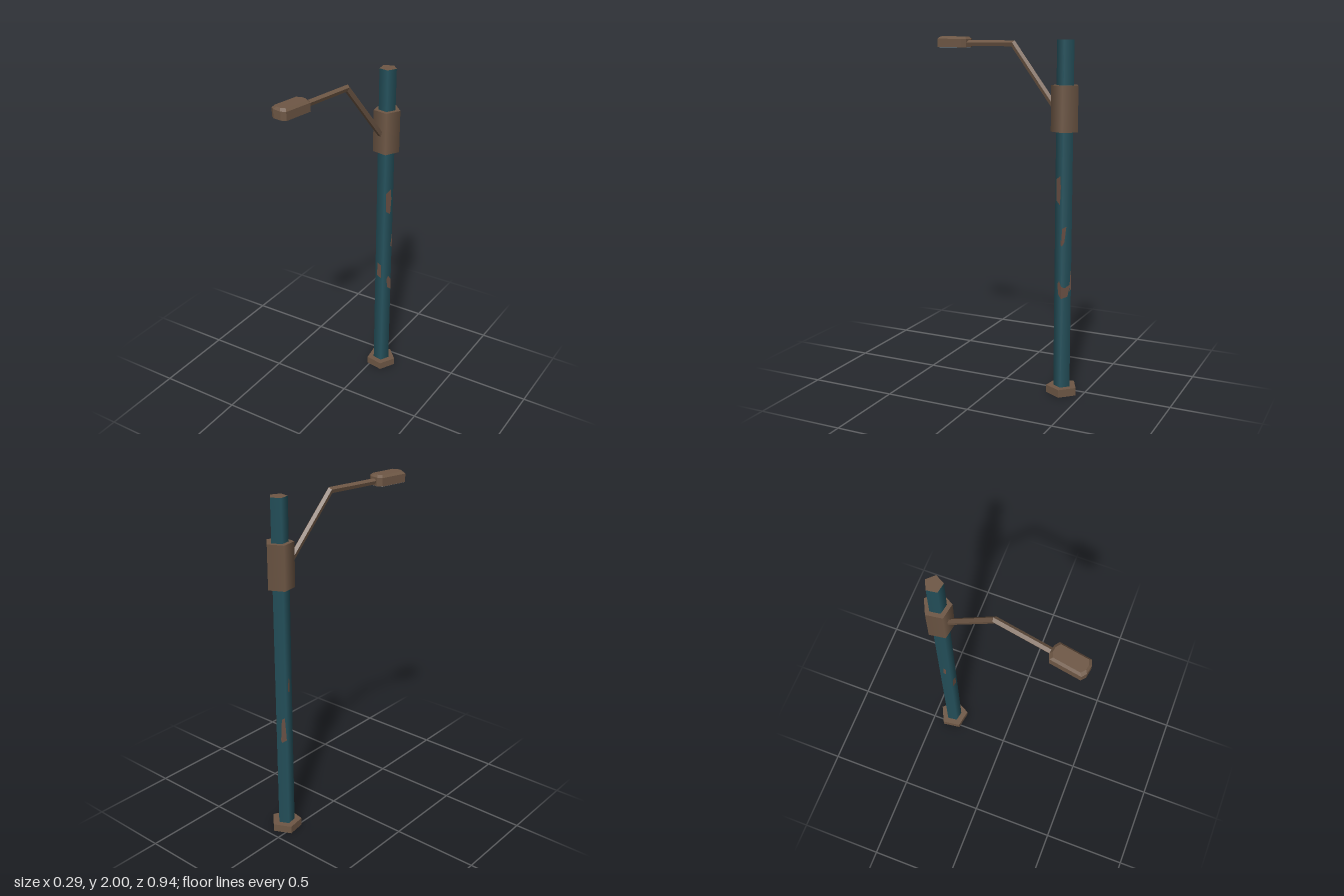
import * as THREE from 'three';

const mat = (name, color) => new THREE.MeshStandardMaterial({ name, color, side: THREE.DoubleSide });

// Faceted skin through a list of rings, optionally closed at both ends
function loft(rings, capped = true) {
  const pos = [];
  const tri = (...pts) => pts.forEach((p) => pos.push(p.x, p.y, p.z));
  const n = rings[0].length;
  for (let k = 0; k < rings.length - 1; k++) {
    const a = rings[k], b = rings[k + 1];
    for (let i = 0; i < n; i++) {
      const j = (i + 1) % n;
      tri(a[i], a[j], b[j]);
      tri(a[i], b[j], b[i]);
    }
  }
  if (capped) {
    const first = rings[0], last = rings[rings.length - 1];
    for (let i = 1; i < n - 1; i++) {
      tri(first[0], first[i + 1], first[i]);
      tri(last[0], last[i], last[i + 1]);
    }
  }
  const g = new THREE.BufferGeometry();
  g.setAttribute('position', new THREE.Float32BufferAttribute(pos, 3));
  g.computeVertexNormals();
  return g;
}

// Five-sided column with a corner at the back and a flat at the front
function column(r, y0, y1, open) {
  return new THREE.CylinderGeometry(r, r, y1 - y0, 5, 1, open)
    .rotateY(Math.PI).translate(0, (y0 + y1) / 2, 0);
}
function pentagonCap(r, y) {
  return new THREE.CircleGeometry(r, 5, Math.PI / 2).rotateX(-Math.PI / 2).translate(0, y, 0);
}

export function createModel() {
  const model = new THREE.Group();
  model.name = 'streetLamp';
  const teal = mat('tealPaint', 0x25525d);
  const brown = mat('brownMetal', 0x6e5745);
  const rust = mat('rust', 0x684f43);
  const glass = mat('lampGlass', 0x858f98);

  // Everything is built around the pole axis, with the arm along +z, then turned
  const lamp = new THREE.Group();
  lamp.name = 'lamp';
  lamp.position.set(0.05, 0, -0.378);
  lamp.rotation.y = THREE.MathUtils.degToRad(-10);
  model.add(lamp);
  const add = (name, geometry, material) => {
    const m = new THREE.Mesh(geometry, material);
    m.name = name;
    lamp.add(m);
    return m;
  };

  // Pole, foot and collar
  const R = 0.05;
  const foot = column(0.091, 0, 0.045, true).toNonIndexed();
  foot.computeVertexNormals();
  add('footSides', foot, brown);
  add('footTop', pentagonCap(0.091, 0.045), brown);
  add('pole', column(R, 0, 1.99, true), teal);
  add('poleCap', pentagonCap(R, 1.99), brown);
  add('collar', column(0.079, 1.5, 1.75, false), brown);

  // Bent five-sided arm, mitred at the elbow
  const path = [[0.055, 1.615], [0.343, 1.964], [0.68, 1.962]].map(([z, y]) => new THREE.Vector3(0, y, z));
  const dirs = [0, 1].map((i) => path[i + 1].clone().sub(path[i]).normalize());
  const ups = dirs.map((d) => new THREE.Vector3(0, d.z, -d.y));
  const mitre = ups[0].clone().add(ups[1]).normalize();
  mitre.divideScalar(mitre.dot(ups[0]));
  const armRings = [ups[0], mitre, ups[1]].map((up, k) =>
    Array.from({ length: 5 }, (_, i) => {
      const t = (i / 5) * Math.PI * 2;
      return path[k].clone().addScaledVector(up, 0.018 * Math.cos(t)).add(new THREE.Vector3(-0.018 * Math.sin(t), 0, 0));
    }));
  add('arm', loft(armRings), brown);

  // Lamp head: long box with clipped corners and a bevelled top
  const headRing = (y, inset) => {
    const w = 0.051 - inset, l = 0.101 - inset;
    const c = w - 0.026, e = l - 0.015;
    return [[w, e], [w, -e], [c, -l], [-c, -l], [-w, -e], [-w, e], [-c, l], [c, l]]
      .map(([x, z]) => new THREE.Vector3(x, y, 0.757 + z));
  };
  add('lampHead', loft([headRing(1.94, 0), headRing(1.987, 0), headRing(2, 0.012)]), brown);
  add('lampGlass', loft([headRing(1.938, 0.004), headRing(1.941, 0.004)]), glass);

  // Rust patches: [face angle, outline of (across the face -1..1, height)]
  const apothem = R * Math.cos(Math.PI / 5) + 0.0008;
  const half = R * Math.sin(Math.PI / 5);
  const patches = [
    [0, [[-0.55, 0.67], [0.6, 0.66], [0.55, 0.75], [-0.4, 0.76]]],
    [72, [[-0.6, 1.12], [0.4, 1.1], [0.6, 1.2], [0.4, 1.26], [-0.7, 1.24]]],
    [72, [[0.65, 0.88], [1, 0.87], [1, 0.98], [0.85, 0.93]]],
    [144, [[-1, 0.87], [-0.5, 0.89], [-0.1, 0.98], [-1, 0.97]]],
    [72, [[0.2, 0.59], [1, 0.57], [1, 0.64], [0.4, 0.67], [-0.1, 0.65]]],
    [144, [[-1, 0.57], [0.3, 0.58], [0.8, 0.65], [-0.3, 0.63], [-1, 0.64]]],
    [144, [[0.65, 0.61], [1, 0.62], [1, 0.75], [0.8, 0.7]]],
    [-144, [[-1, 0.6], [-0.7, 0.74], [-0.1, 0.73], [0.15, 0.6], [0, 0.58]].map(([u, y]) => [-u, y])],
    [-72, [[-0.3, 0.9], [0.2, 0.89], [0.3, 0.96], [-0.1, 0.98]]],
  ];
  patches.forEach(([angle, outline], i) => {
    const shape = new THREE.Shape(outline.map(([u, y]) => new THREE.Vector2(u * half, y)));
    const g = new THREE.ShapeGeometry(shape).translate(0, 0, apothem).rotateY(THREE.MathUtils.degToRad(angle));
    add('rustPatch' + (i + 1), g, rust);
  });

  return model;
}
